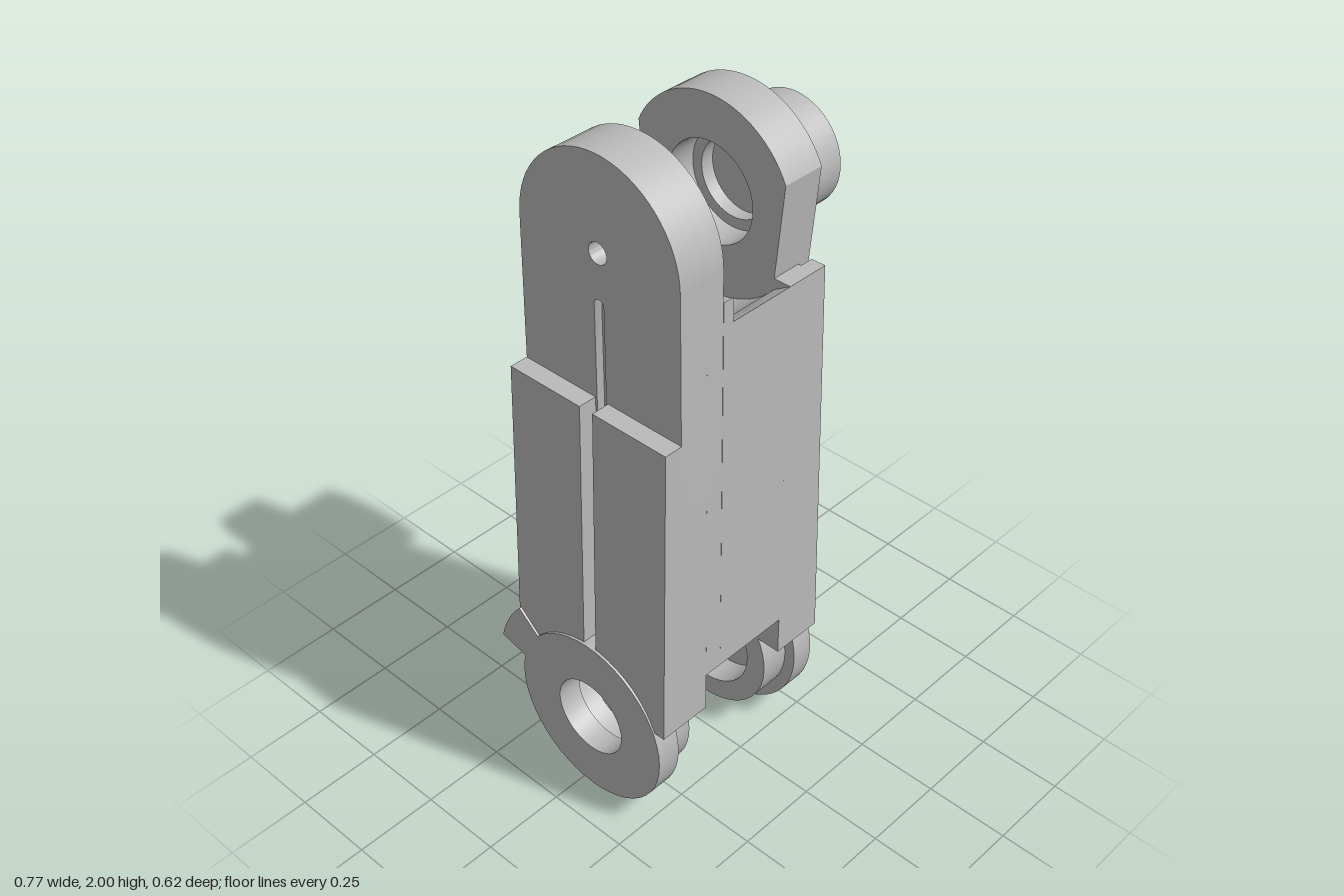
import * as THREE from 'three';
import { toCreasedNormals } from 'three/addons/utils/BufferGeometryUtils.js';

// Profiles are drawn as [u, y]: u is the distance behind the pivot plane.
const PIVOT_Z = 0.035, TOP = 1.735, LOW = 0.265, R = 0.265;

// Points on an arc around a pivot, angles in degrees
function arc(cy, r, a0, a1, n = 32) {
  return Array.from({ length: n + 1 }, (_, i) => {
    const a = THREE.MathUtils.degToRad(a0 + (a1 - a0) * i / n);
    return [r * Math.cos(a), cy + r * Math.sin(a)];
  });
}
const circle = (cy, r) => arc(cy, r, 0, 360, 48).slice(0, -1);
const square = (cy, h) => [[-h, cy - h], [h, cy - h], [h, cy + h], [-h, cy + h]];
const vecs = (pts) => pts.map(([u, y]) => new THREE.Vector2(u, y));
const deg = (s) => THREE.MathUtils.radToDeg(s);

export function createModel() {
  const group = new THREE.Group();
  const grey = new THREE.MeshStandardMaterial({ color: 0xbababa });
  grey.name = 'plain grey';

  // Extrudes a profile from x0 to x1; warp may shift x by height
  function slab(name, pts, x0, x1, holes = [], warp) {
    const shape = new THREE.Shape(vecs(pts));
    holes.forEach((h) => shape.holes.push(new THREE.Path(vecs(h))));
    let geo = new THREE.ExtrudeGeometry(shape, { depth: x1 - x0, bevelEnabled: false });
    geo.rotateY(Math.PI / 2).translate(x0, 0, PIVOT_Z);
    if (warp) {
      const p = geo.attributes.position;
      for (let i = 0; i < p.count; i++) p.setX(i, warp(p.getX(i), p.getY(i)));
    }
    geo = toCreasedNormals(geo, 0.5);
    const mesh = new THREE.Mesh(geo, grey);
    mesh.name = name;
    group.add(mesh);
  }

  const half = (y) => 0.277 - 0.01 * (y - 0.37) / 1.21;
  const CUT = 0.285;

  // Underside, listed from front to back
  const roundFoot = [[-0.277, 0.37], ...arc(LOW, 0.2, 148, 32), [0.277, 0.37]];
  const a49 = deg(Math.asin(0.225 / CUT)), a37 = deg(Math.asin(0.105 / CUT));
  const notchedFoot = [[-0.276, 0.49], ...arc(LOW, CUT, 180 - a49, a37), [0.277, 0.37]];

  // Left fork arm: full height, rounded at the top
  const ear = arc(TOP, R, 0, 180);
  const slot = [[0.02, 1.25], ...arc(1.59, 0.016, 0, 180, 10), [-0.016, 1.25], [0.016, 1.25]].slice(1);
  slot.pop();
  slot.push([0.016, 1.25]);
  const pin = circle(TOP, 0.03), bore = circle(TOP, 0.08);
  slab('leftArmOuter', [...roundFoot, ...ear], -0.31, -0.285, [slot, pin]);
  slab('leftArmMiddle', [...roundFoot, ...ear], -0.285, -0.26, [pin]);
  slab('leftArmInner', [...roundFoot, ...ear], -0.26, -0.22, [bore]);
  slab('leftArmCheek', [...notchedFoot, ...ear], -0.22, -0.165, [bore]);

  // Centre body: saddle between the forks with stop blocks
  const saddle = (backHigh, frontHigh) => {
    const hi = deg(Math.asin(0.085 / CUT)), lo = deg(Math.acos(0.215 / CUT));
    return [
      ...notchedFoot,
      backHigh ? [0.267, 1.65] : [0.267, 1.58],
      ...arc(TOP, CUT, -(backHigh ? hi + 3 : lo), -180 + (frontHigh ? hi + 3 : lo)),
      frontHigh ? [-0.267, 1.65] : [-0.267, 1.58],
    ];
  };
  slab('bodyStopBoth', saddle(true, true), -0.165, -0.13);
  slab('bodyStopBack', saddle(true, false), -0.13, -0.07);
  slab('bodyCentre', saddle(false, false), -0.07, 0.075);
  slab('bodyRight', [...roundFoot, [0.267, 1.58], [-0.267, 1.58]], 0.075, 0.165);

  // Right fork arm: flat-sided ear running down into a tapering strap
  const strapHalf = (y) => 0.24 - 0.135 * (1.85 - y) / 1.45;
  const flat = deg(Math.acos(0.24 / R));
  const strapTop = (y) => [[-strapHalf(y), y], [strapHalf(y), y], ...arc(TOP, R, flat, 180 - flat)];
  slab('rightEarInner', strapTop(1.5), 0.075, 0.165, [circle(TOP, 0.14)]);
  slab('rightEarOuter', strapTop(1.58), 0.165, 0.205, [circle(TOP, 0.11)]);
  const lean = (x, y) => (x > 0.2 ? 0.205 + 0.03 * (1.58 - y) / 1.21 : x);
  const sLow = strapHalf(0.37), sHigh = strapHalf(1.58);
  slab('rightStrap', [[-sLow, 0.37], [sLow, 0.37], [sHigh, 1.58], [-sHigh, 1.58]], 0.165, 0.205, [], lean);

  // Mirrored side lips: right ones beside the strap, left ones beside the slot
  const leftLean = (x, y) => (x < -0.32 ? -0.365 - 0.02 * (1.31 - y) / 0.94 : x);
  for (const s of [-1, 1]) {
    const side = s < 0 ? 'front' : 'back';
    const order = (pts) => pts.map(([u, y]) => [s * u, y]);
    slab(side + 'RightLip', order([[0.155, 0.37], [0.277, 0.37], [0.267, 1.58], [0.224, 1.58]]), 0.165, 0.205, [], lean);
    slab(side + 'LeftPlate', order([[0.022, 0.4], [0.14, 0.37], [0.277, 0.37], [half(1.31), 1.31], [0.022, 1.31]]), -0.365, -0.31, [], leftLean);
  }

  // Lower knuckles
  slab('leftKnuckle', circle(LOW, R), -0.39, -0.315, [circle(LOW, 0.12)]);
  slab('leftKnuckleRing', circle(LOW, 0.23), -0.315, -0.235, [circle(LOW, 0.165)]);
  slab('rightKnuckle', circle(LOW, R), 0.165, 0.235);
  slab('rightKnuckleRing', circle(LOW, 0.23), 0.075, 0.165, [circle(LOW, 0.165)]);

  // Pegs with square sockets; the lower one has a side notch into its socket
  const PEG = 0.157;
  slab('upperPegBase', circle(TOP, PEG), 0.205, 0.26);
  slab('upperPeg', circle(TOP, PEG), 0.26, 0.385, [square(TOP, 0.085)]);
  slab('lowerPegBase', circle(LOW, PEG), 0.235, 0.26);
  const notched = [
    ...arc(LOW, PEG, 155.5, 490.2, 44),
    [-0.07, LOW + 0.12], [-0.07, LOW + 0.085], [0.085, LOW + 0.085],
    [0.085, LOW - 0.085], [-0.085, LOW - 0.085], [-0.085, LOW + 0.065],
  ];
  slab('lowerPegNotched', notched, 0.26, 0.345);
  slab('lowerPegRim', circle(LOW, PEG), 0.345, 0.385, [square(LOW, 0.085)]);

  // Curved catch at the back of the left knuckle
  const sector = (r0, r1) => [...arc(LOW, r1, 14, 41, 10), ...arc(LOW, r0, 41, 14, 10)];
  slab('catchBand', sector(0.315, 0.358), -0.39, -0.23);
  slab('catchWeb', sector(0.255, 0.315), -0.39, -0.335);

  return group;
}
